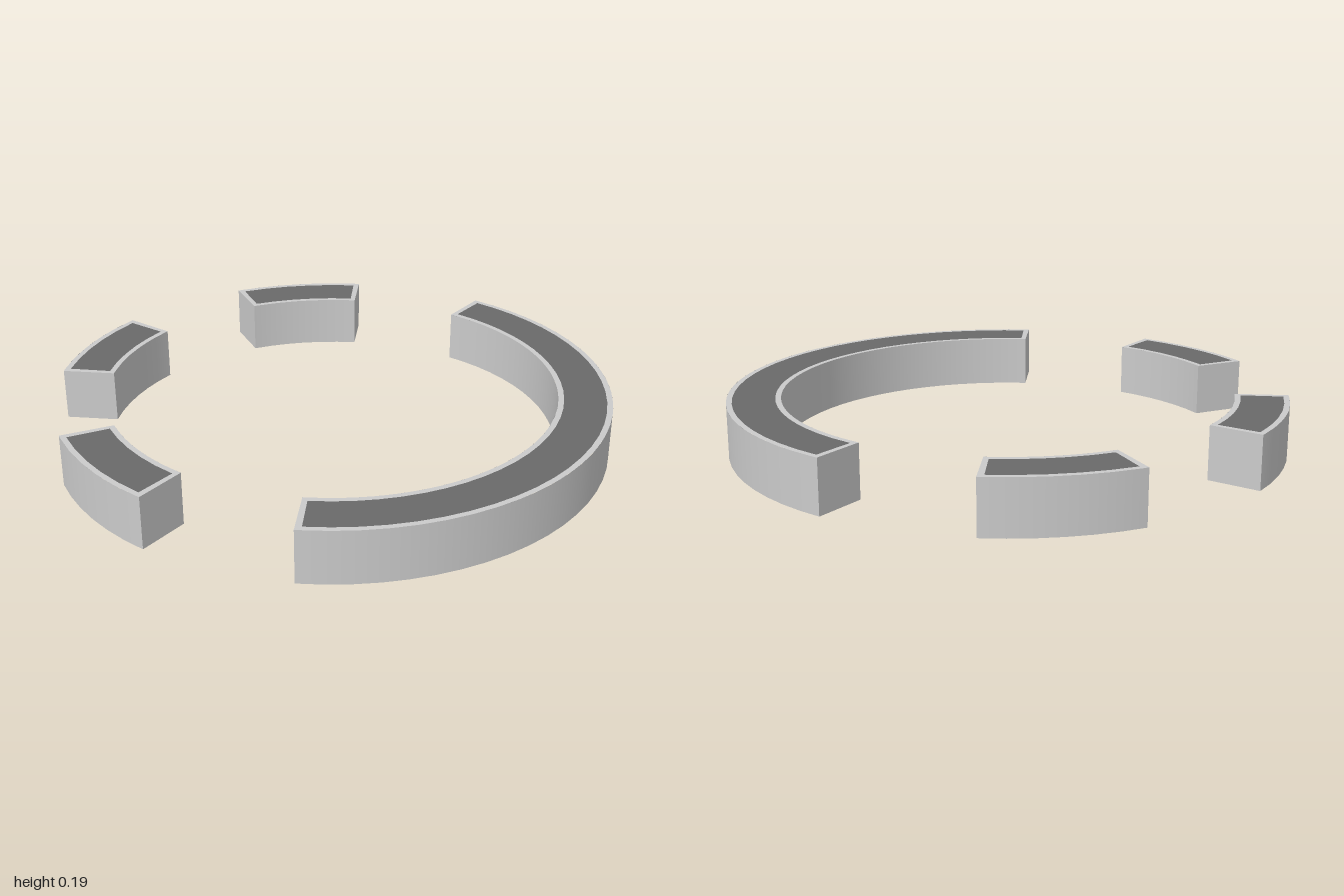
import * as THREE from 'three';

const OUTER = 1, INNER = 0.81, HEIGHT = 0.19, RIM = 0.02;
const CENTRE_Z = -0.017;
const rad = THREE.MathUtils.degToRad;

const shell = new THREE.MeshStandardMaterial({ color: 0xcccccc, side: THREE.DoubleSide });
const dark = new THREE.MeshStandardMaterial({ color: 0x6a6a6a, side: THREE.DoubleSide });

// Sweeps a straight line (r, y) -> (r, y) around the y axis between two angles
function sweep(name, r0, y0, r1, y1, from, to, material) {
  const line = [new THREE.Vector2(r0, y0), new THREE.Vector2(r1, y1)];
  const steps = Math.max(1, Math.round((to - from) / rad(5)));
  const mesh = new THREE.Mesh(
    new THREE.LatheGeometry(line, steps, from + Math.PI / 2, to - from), material);
  mesh.name = name;
  return mesh;
}

// Flat wall closing one end of a segment
function endWall(name, angle, facing) {
  const mesh = new THREE.Mesh(new THREE.PlaneGeometry(OUTER - INNER, HEIGHT), shell);
  const r = (OUTER + INNER) / 2;
  mesh.position.set(r * Math.cos(angle), HEIGHT / 2, -r * Math.sin(angle));
  mesh.rotation.y = angle + (facing > 0 ? Math.PI : 0);
  mesh.name = name;
  return mesh;
}

// Hollow curved segment, open underneath, with a dark panel inside a thin top rim
function segment(name, fromDeg, toDeg) {
  const a = rad(fromDeg), b = rad(toDeg), h = HEIGHT;
  const inset = RIM / ((OUTER + INNER) / 2);
  const group = new THREE.Group();
  group.name = name;
  group.add(
    sweep('outerWall', OUTER, 0, OUTER, h, a, b, shell),
    sweep('innerWall', INNER, h, INNER, 0, a, b, shell),
    endWall('startWall', a, -1),
    endWall('endWall', b, 1),
    sweep('outerRim', OUTER, h, OUTER - RIM, h, a + inset, b - inset, shell),
    sweep('innerRim', INNER + RIM, h, INNER, h, a + inset, b - inset, shell),
    sweep('startRim', OUTER, h, INNER, h, a, a + inset, shell),
    sweep('endRim', OUTER, h, INNER, h, b - inset, b, shell),
    sweep('topPanel', OUTER - RIM, h, INNER + RIM, h, a + inset, b - inset, dark));
  return group;
}

export function createModel() {
  const model = new THREE.Group();
  model.name = 'segmentedRing';
  // Angles run counterclockwise from +x, seen from above
  model.add(
    segment('longArc', 225, 375),
    segment('backLeftArc', 45, 75),
    segment('backRightArc', 105, 135),
    segment('rightArc', 165, 195));
  model.position.z = CENTRE_Z;
  const root = new THREE.Group();
  root.add(model);
  return root;
}
